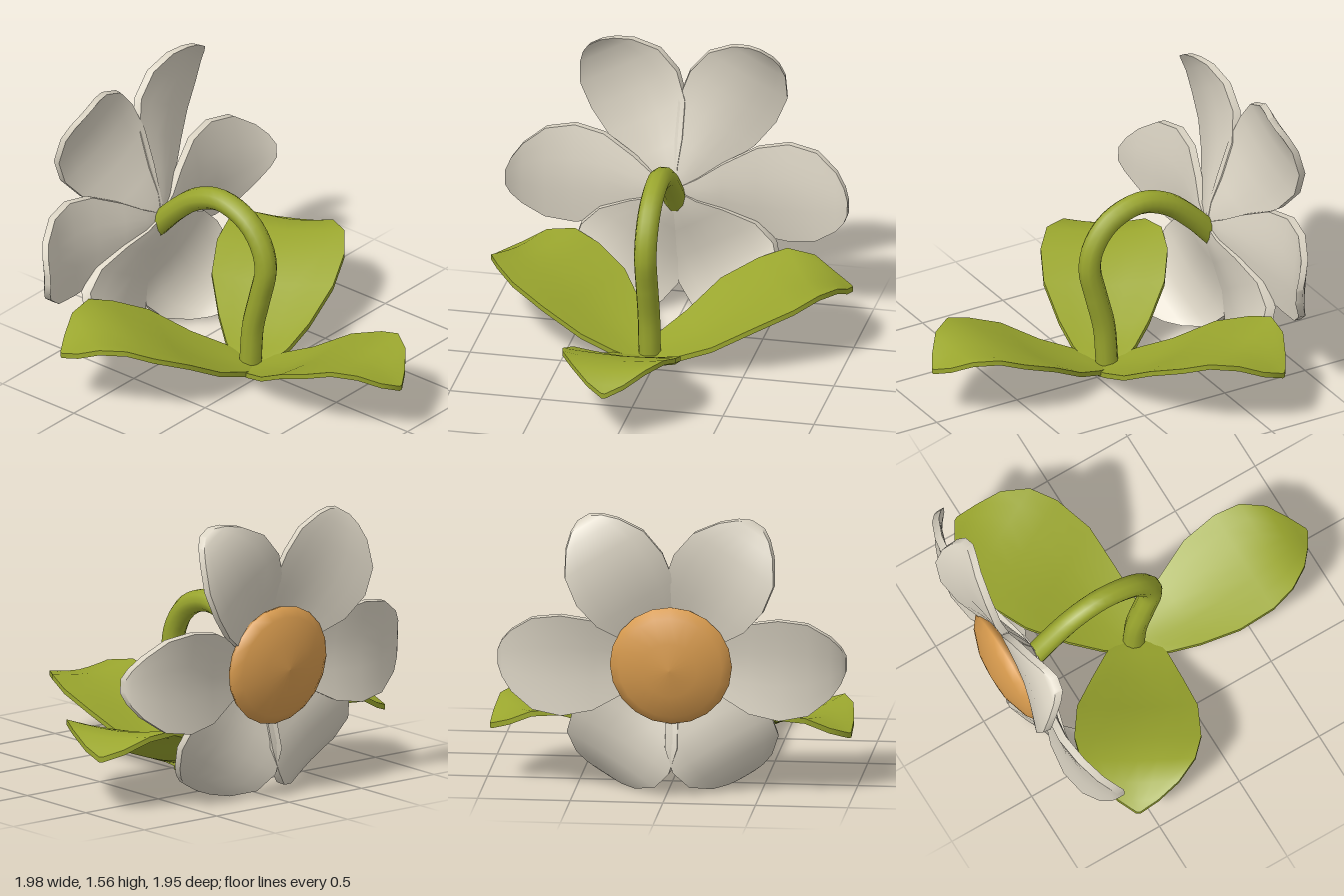
import * as THREE from 'three';
import { toCreasedNormals } from 'three/addons/utils/BufferGeometryUtils.js';

const rad = THREE.MathUtils.degToRad;
const mat = (name, color) => {
  const m = new THREE.MeshStandardMaterial({ color });
  m.name = name;
  return m;
};

// Cupped blade along +x, facing +y. Rows are [distance, half width, height, edge lift].
function bladeGeometry(rows, thickness, cols = 7) {
  const pos = [], index = [], n = cols * 2;
  for (const [x, w, y, lift] of rows) {
    for (let k = 0; k < n; k++) {
      const top = k < cols;
      const j = top ? k : n - 1 - k;
      const u = (j / (cols - 1)) * 2 - 1;
      pos.push(x, y + lift * Math.abs(u) ** 1.5 - (top ? 0 : thickness), w * u);
    }
  }
  const quad = (a, b, c, d) => index.push(a, b, c, a, c, d);
  for (let i = 0; i < rows.length - 1; i++) {
    for (let k = 0; k < n; k++) {
      const k2 = (k + 1) % n;
      quad(i * n + k, i * n + k2, (i + 1) * n + k2, (i + 1) * n + k);
    }
  }
  // End caps
  const e = (rows.length - 1) * n;
  for (let j = 0; j < cols - 1; j++) {
    quad(e + j, e + j + 1, e + n - 2 - j, e + n - 1 - j);
    quad(n - 1 - j, n - 2 - j, j + 1, j);
  }
  const g = new THREE.BufferGeometry();
  g.setAttribute('position', new THREE.Float32BufferAttribute(pos, 3));
  g.setIndex(index);
  return toCreasedNormals(g, 0.8);
}

export function createModel() {
  const model = new THREE.Group();
  model.name = 'flower';
  const green = mat('leafGreen', 0x9aa62e);
  const cream = mat('petalCream', 0xd9d2c2);
  const orange = mat('centreOrange', 0xd89b4e);
  const add = (parent, name, geometry, material) => {
    const m = new THREE.Mesh(geometry, material);
    m.name = name;
    parent.add(m);
    return m;
  };

  // Hooked stem
  const path = new THREE.CatmullRomCurve3([
    [-0.08, 0.0], [-0.075, 0.1], [-0.06, 0.28], [-0.01, 0.48], [0.03, 0.66], [0.0, 0.79],
    [-0.1, 0.91], [-0.28, 0.97], [-0.45, 0.92], [-0.6, 0.8], [-0.74, 0.65],
  ].map(([x, y]) => new THREE.Vector3(x, y, 0.03)));
  add(model, 'stem', new THREE.TubeGeometry(path, 36, 0.062, 10), green);

  // Short root stub under the leaves
  add(model, 'stemBase', new THREE.CylinderGeometry(0.062, 0.062, 0.05, 10), green)
    .position.set(-0.08, 0.025, 0.03);

  // Three leaves around the base: [angle, length scale, width scale]
  const leaf = bladeGeometry([
    [0, 0.08, 0.05, 0], [0.1, 0.15, 0.08, 0.015], [0.26, 0.22, 0.13, 0.03],
    [0.46, 0.295, 0.25, 0.03], [0.66, 0.31, 0.345, 0.015], [0.8, 0.28, 0.375, 0.035],
    [0.92, 0.2, 0.37, 0.025], [1.0, 0.1, 0.325, 0.01], [1.055, 0.01, 0.3, 0],
  ], 0.028);
  [[0, 1, 1], [118, 1.075, 1.13], [-120.5, 1.035, 1.1]].forEach(([deg, sx, sz], i) => {
    const m = add(model, 'leaf' + (i + 1), leaf, green);
    m.position.set(-0.06, 0, i ? 0.03 : 0.05);
    m.rotation.y = rad(deg);
    m.scale.set(sx, i ? 1.06 : 1, sz);
  });

  // Blossom, facing -x and nodding slightly downwards
  const blossom = new THREE.Group();
  blossom.name = 'blossom';
  blossom.position.set(-0.72, 0.72, 0.03);
  blossom.rotation.z = rad(100);
  model.add(blossom);

  // Six petals: [angle, length, depth and width scales, pitch, roll]
  const petal = bladeGeometry([
    [0.02, 0.03, 0.02, 0], [0.12, 0.08, 0.03, 0.01], [0.25, 0.16, 0.07, 0.02],
    [0.43, 0.25, 0.12, 0.03], [0.6, 0.28, 0.14, 0.03], [0.76, 0.255, 0.125, 0.02],
    [0.88, 0.17, 0.085, 0.01], [0.935, 0.1, 0.045, 0.005], [0.96, 0.04, 0.02, 0],
  ], 0.045);
  [
    [30, 0.98, 0.95, 0.97, -1, 12], [90, 0.99, 0.95, 1, 0, 7],
    [150, 0.81, 1.25, 1.1, -2, 10], [210, 0.8, 1.25, 1.1, -2, -10],
    [270, 0.97, 0.95, 1, 0, -7], [330, 0.96, 0.95, 1.02, -1, -12],
  ].forEach(([deg, sx, sy, sz, pitch, roll], i) => {
    const m = add(blossom, 'petal' + (i + 1), petal, cream);
    m.rotation.set(rad(roll), rad(deg), rad(pitch), 'YXZ');
    m.scale.set(sx, sy, sz);
  });

  // Domed centre, slightly more upright than the petals
  const profile = [[0, 0.04], [0.2, 0.06], [0.32, 0.12], [0.33, 0.15], [0.28, 0.19], [0.15, 0.235], [0, 0.25]]
    .map(([r, y]) => new THREE.Vector2(r, y));
  const centre = add(blossom, 'flowerCentre', new THREE.LatheGeometry(profile, 20), orange);
  centre.position.x = 0.02;
  centre.rotation.z = rad(-5);

  return model;
}
